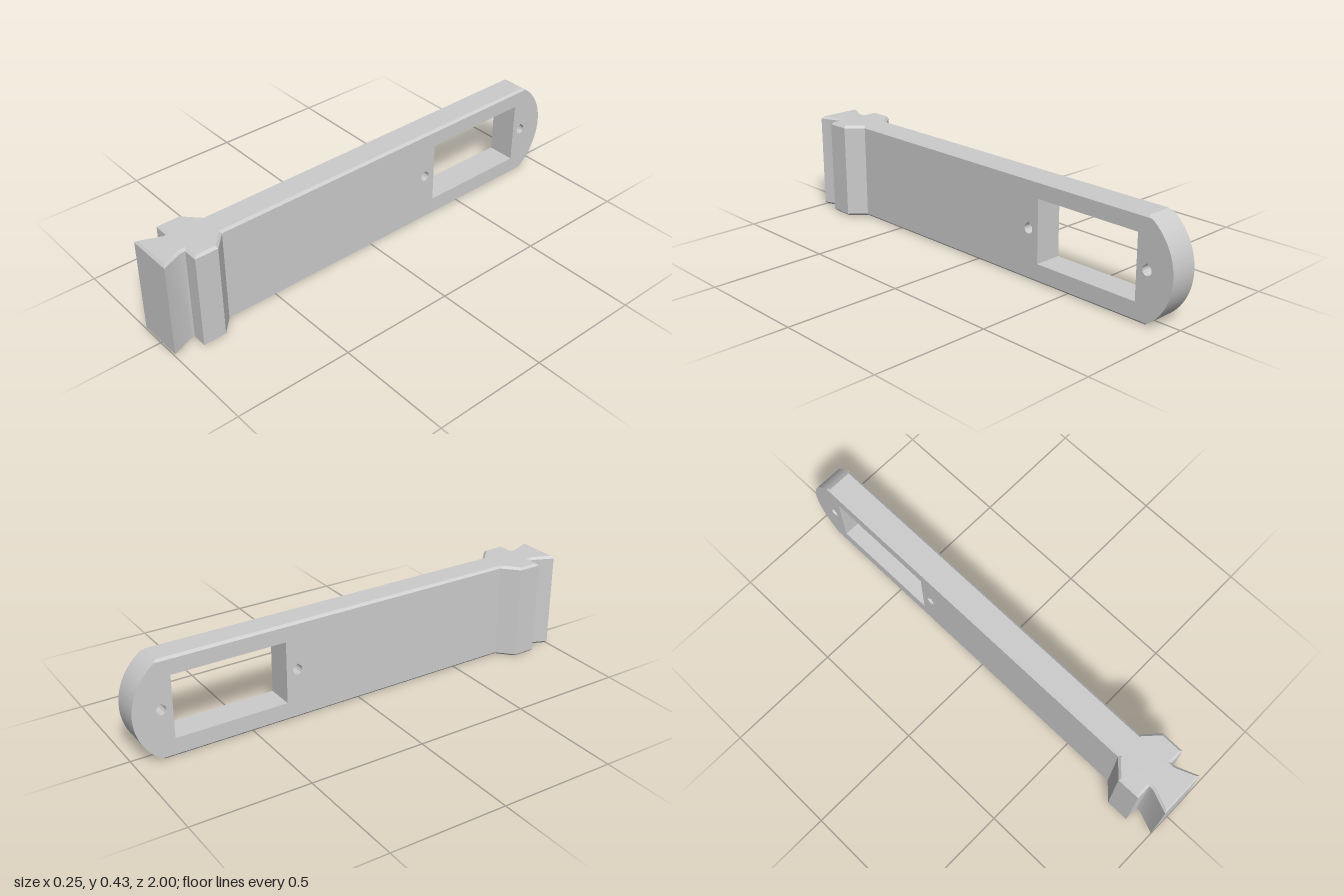
import * as THREE from 'three';
import { toCreasedNormals } from 'three/addons/utils/BufferGeometryUtils.js';

const H = 0.426;      // overall height
const HALF = 0.061;   // half thickness of the arm
const BEVEL = 0.01;   // chamfer on the top and bottom edges
const MID = H / 2;

// Screw hole with a slightly peaked top
function screwHole(u) {
  const r = 0.021;
  const hole = new THREE.Path();
  hole.absarc(u, MID + 0.003, r, Math.PI * 0.75, Math.PI * 2.25, false);
  hole.lineTo(u, MID + 0.031);
  hole.closePath();
  return hole;
}

// Long arm with rounded end, drawn from the side (u = -z) and extruded across x
function armGeometry() {
  const radius = 0.249;
  const a = Math.asin(MID / radius);
  const side = new THREE.Shape();
  side.moveTo(-0.76, H);
  side.lineTo(-0.76, 0);
  side.absarc(1 - radius, MID, radius, -a, a, false);
  side.closePath();

  const slot = new THREE.Path([
    [0.345, 0.08], [0.835, 0.08], [0.835, 0.351], [0.345, 0.351],
  ].map(([u, v]) => new THREE.Vector2(u, v)));
  slot.closePath();
  side.holes.push(slot, screwHole(0.295), screwHole(0.883));

  const geo = new THREE.ExtrudeGeometry(side, {
    depth: HALF * 2, steps: 3, bevelEnabled: false, curveSegments: 32,
  });
  geo.rotateY(Math.PI / 2);
  geo.translate(-HALF, 0, 0);

  // Chamfer the long edges: outer layers are pulled in at top and bottom
  const p = geo.attributes.position;
  for (let i = 0; i < p.count; i++) {
    const x = p.getX(i);
    if (Math.abs(x) < HALF - 0.005) p.setX(i, Math.sign(x) * (HALF - BEVEL));
    else p.setY(i, THREE.MathUtils.clamp(p.getY(i), BEVEL, H - BEVEL));
  }
  return toCreasedNormals(geo, 0.4);
}

// Flared head with dovetail, drawn from above and extruded up with chamfers
function headGeometry() {
  const half = [
    [HALF, 0.728], [0.127, 0.79], [0.127, 0.889],
    [0.063, 0.889], [0.063, 0.907], [0.1, 1],
  ];
  const mirrored = half.map(([x, z]) => [-x, z]).reverse();
  const plan = new THREE.Shape(
    [...half, ...mirrored].map(([x, z]) => new THREE.Vector2(x, z)));
  const geo = new THREE.ExtrudeGeometry(plan, {
    depth: H - 2 * BEVEL, bevelEnabled: true, bevelSegments: 1,
    bevelSize: BEVEL, bevelThickness: BEVEL, bevelOffset: -BEVEL,
  });
  geo.rotateX(Math.PI / 2);
  geo.translate(0, H - BEVEL, 0);
  return toCreasedNormals(geo, 0.4);
}

export function createModel() {
  const grey = new THREE.MeshStandardMaterial({ color: 0xcccccc });
  grey.name = 'lightGrey';
  const group = new THREE.Group();
  group.name = 'slottedArm';

  const arm = new THREE.Mesh(armGeometry(), grey);
  arm.name = 'arm';
  const head = new THREE.Mesh(headGeometry(), grey);
  head.name = 'dovetailHead';
  group.add(arm, head);
  return group;
}
